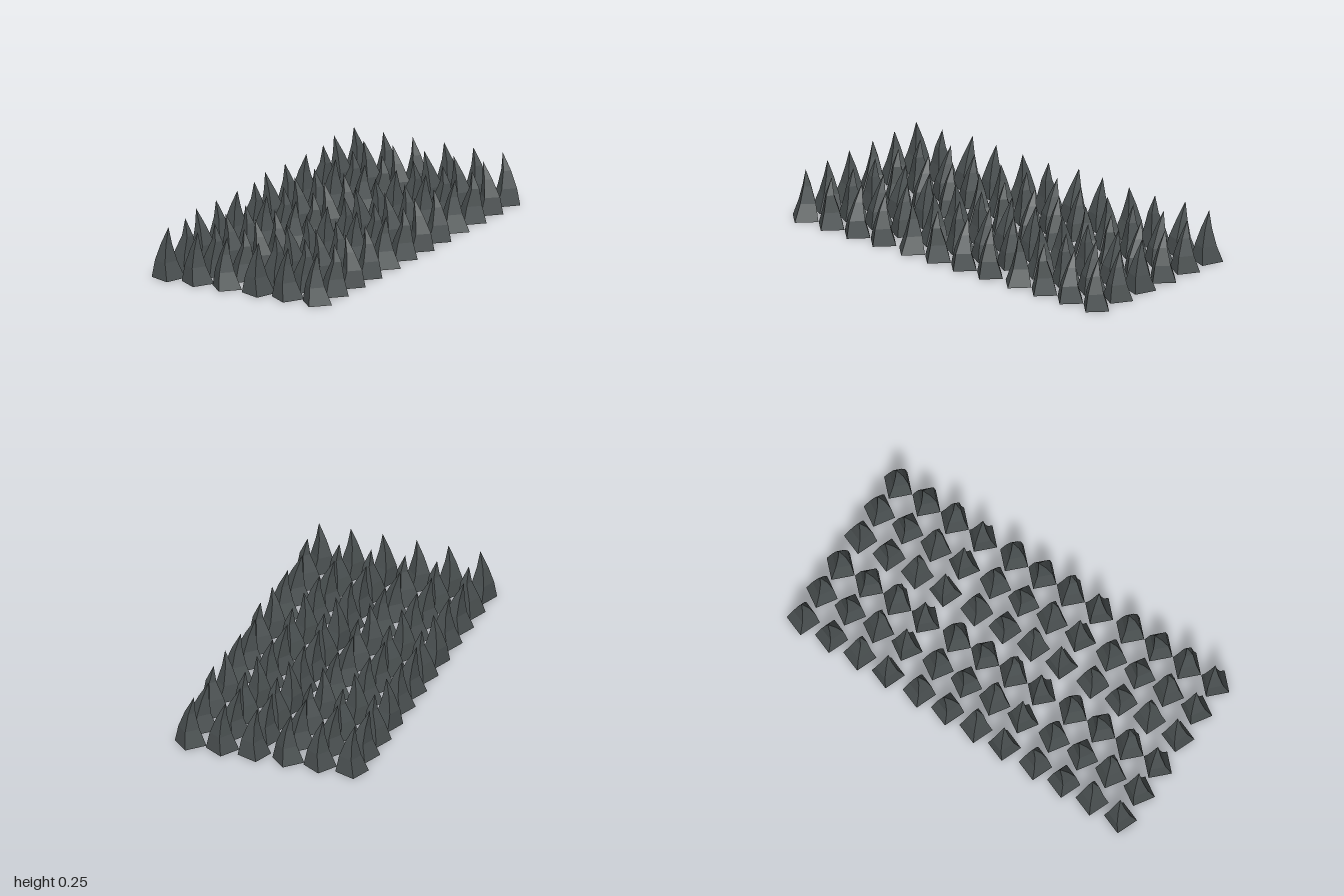
import * as THREE from 'three';

const HEIGHT = 0.253, RADIUS = 0.081, LEVELS = 3;

// Sideways bend at each level (base to tip) for the four rows of a tile, front to back
const BENDS = [
  [0, -0.013, -0.011, 0],
  [0, 0.002, 0.013, 0],
  [0, 0.008, -0.008, -0.033],
  [0, 0.009, 0.003, -0.016],
];
// Turn of each of the three columns of a tile
const TURNS = [0.42, 0.22, 0];

// Four-sided crooked spike with a closed base
function spikeGeometry(bend, turn) {
  const cone = new THREE.CylinderGeometry(0, RADIUS, HEIGHT, 4, LEVELS);
  cone.rotateY(turn);
  cone.translate(0, HEIGHT / 2, 0);
  const p = cone.attributes.position;
  for (let i = 0; i < p.count; i++) {
    const level = Math.round((p.getY(i) / HEIGHT) * LEVELS);
    p.setX(i, p.getX(i) + bend[level]);
  }
  const flat = cone.toNonIndexed();
  flat.computeVertexNormals();
  return flat;
}

export function createModel() {
  const model = new THREE.Group();
  model.name = 'spikeField';
  const darkStone = new THREE.MeshStandardMaterial({ color: 0x4b5152 });
  darkStone.name = 'darkStone';

  const shapes = BENDS.map((bend) => TURNS.map((turn) => spikeGeometry(bend, turn)));

  // Tiles of 3 x 4 spikes, two across and three deep
  for (let tx = 0; tx < 2; tx++) {
    for (let tz = 0; tz < 3; tz++) {
      const tile = new THREE.Group();
      tile.name = 'spikeTile';
      tile.position.set(-0.413 + tx * 0.5, 0, 0.918 - tz * 0.672);
      shapes.forEach((row, r) => row.forEach((shape, c) => {
        const spike = new THREE.Mesh(shape, darkStone);
        spike.name = 'spike';
        spike.position.set(c * 0.163, 0, -r * 0.164);
        tile.add(spike);
      }));
      model.add(tile);
    }
  }
  return model;
}
